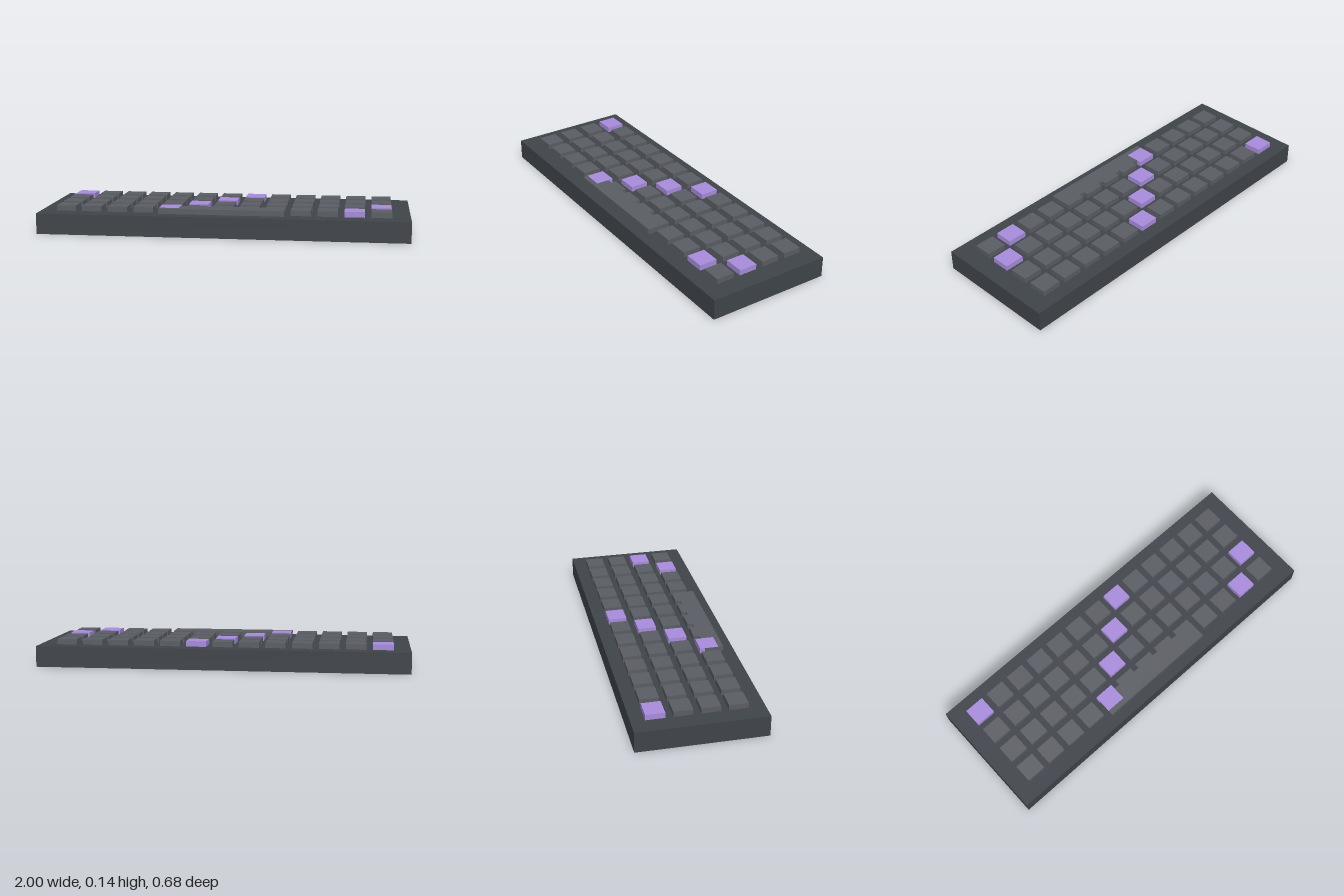
import * as THREE from 'three';

const material = (color) => new THREE.MeshStandardMaterial({ color });

export function createModel() {
  const model = new THREE.Group();
  model.name = 'keyboard';
  const caseMat = material(0x3f444a);
  const keyMat = material(0x5a5d63);
  const accentMat = material(0xa88cdc);

  // box placed by its centre in plan and its bottom height
  function box(name, [w, h, d], [x, bottom, z], mat, parent = model) {
    const mesh = new THREE.Mesh(new THREE.BoxGeometry(w, h, d), mat);
    mesh.name = name;
    mesh.position.set(x, bottom + h / 2, z);
    parent.add(mesh);
    return mesh;
  }

  // case
  box('case', [2, 0.1125, 0.676], [0, 0, 0], caseMat);

  // key grid, back row first, with the coloured columns of each row
  const accents = [[0, 7], [6], [5, 12], [4, 11]];
  const keyBottom = 0.115;
  const keyHeight = 0.029;
  accents.forEach((accentColumns, row) => {
    const keyRow = new THREE.Group();
    keyRow.name = `keyRow${row + 1}`;
    model.add(keyRow);
    for (let col = 0; col < 13; col++) {
      const accent = accentColumns.includes(col);
      // coloured keys sit a hair higher so they show cleanly over the space bar
      const h = keyHeight + (accent ? 0.0005 : 0);
      box(accent ? 'accentKey' : 'key', [0.108, h, 0.1],
        [-0.855 + col * 0.1418, keyBottom, -0.216 + row * 0.1387],
        accent ? accentMat : keyMat, keyRow);
    }
  });

  // space bar, set slightly forward over the front row
  box('spaceBar', [0.676, keyHeight, 0.1], [-0.004, keyBottom, 0.228], keyMat);

  return model;
}
